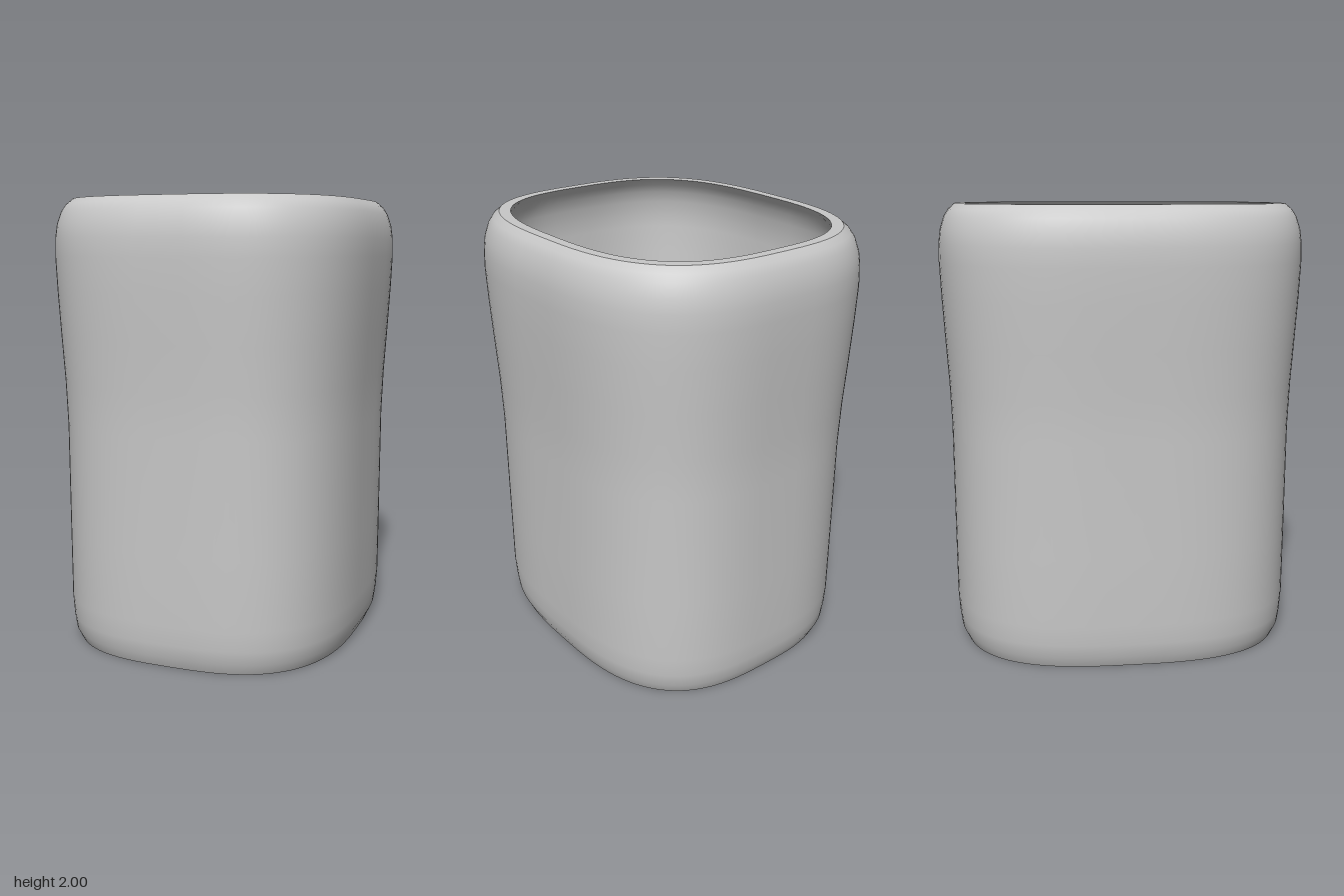
import * as THREE from 'three';

const SEGMENTS = 96;
const ROUNDNESS = 2.9; // superellipse exponent of the plan outline
const DEPTH_EXTRA = 0.107; // the sleeve is deeper (z) than wide (x)

// Point on the rounded-rectangle outline for half width r at height y
function outlinePoint(r, y, i) {
  const a = (i / SEGMENTS) * Math.PI * 2;
  const bend = (t) => Math.sign(t) * Math.pow(Math.abs(t), 2 / ROUNDNESS);
  return [r * bend(Math.cos(a)), y, (r + DEPTH_EXTRA) * bend(Math.sin(a))];
}

// Lofts closed outlines along a profile of [half width, height] pairs
function loft(name, profile, material) {
  const positions = [];
  const index = [];
  profile.forEach(([r, y], row) => {
    for (let i = 0; i < SEGMENTS; i++) {
      positions.push(...outlinePoint(r, y, i));
      if (row === profile.length - 1) continue;
      const next = (i + 1) % SEGMENTS;
      const a = row * SEGMENTS + i;
      const b = row * SEGMENTS + next;
      index.push(a, a + SEGMENTS, b, b, a + SEGMENTS, b + SEGMENTS);
    }
  });
  const geometry = new THREE.BufferGeometry();
  geometry.setAttribute('position', new THREE.Float32BufferAttribute(positions, 3));
  geometry.setIndex(index);
  geometry.computeVertexNormals();
  const mesh = new THREE.Mesh(geometry, material);
  mesh.name = name;
  return mesh;
}

export function createModel() {
  const group = new THREE.Group();
  group.name = 'hollowSleeve';
  const grey = new THREE.MeshStandardMaterial({ color: 0xc8c8c8 });
  grey.name = 'plain grey';

  // Outer wall: straight below, flaring above the middle, drawn in at both ends
  const outer = [
    [0.637, 0], [0.66, 0.05], [0.668, 0.11], [0.674, 0.2], [0.675, 0.5],
    [0.676, 1], [0.683, 1.2], [0.695, 1.4], [0.706, 1.6], [0.712, 1.75],
    [0.71, 1.83], [0.702, 1.89], [0.684, 1.945], [0.664, 1.976], [0.637, 2],
  ];
  // Inner wall follows the outer one, from the top lip down to the bottom lip
  const inner = [
    [0.59, 2], [0.618, 1.965], [0.64, 1.925], [0.656, 1.87], [0.664, 1.8],
    [0.665, 1.74], [0.659, 1.6], [0.648, 1.4], [0.637, 1.2], [0.63, 1],
    [0.629, 0.5], [0.628, 0.2], [0.621, 0.11], [0.612, 0.05], [0.59, 0],
  ];

  group.add(
    loft('outerWall', outer, grey),
    loft('topRim', [outer.at(-1), inner[0]], grey),
    loft('innerWall', inner, grey),
    loft('bottomRim', [inner.at(-1), outer[0]], grey),
  );
  return group;
}
